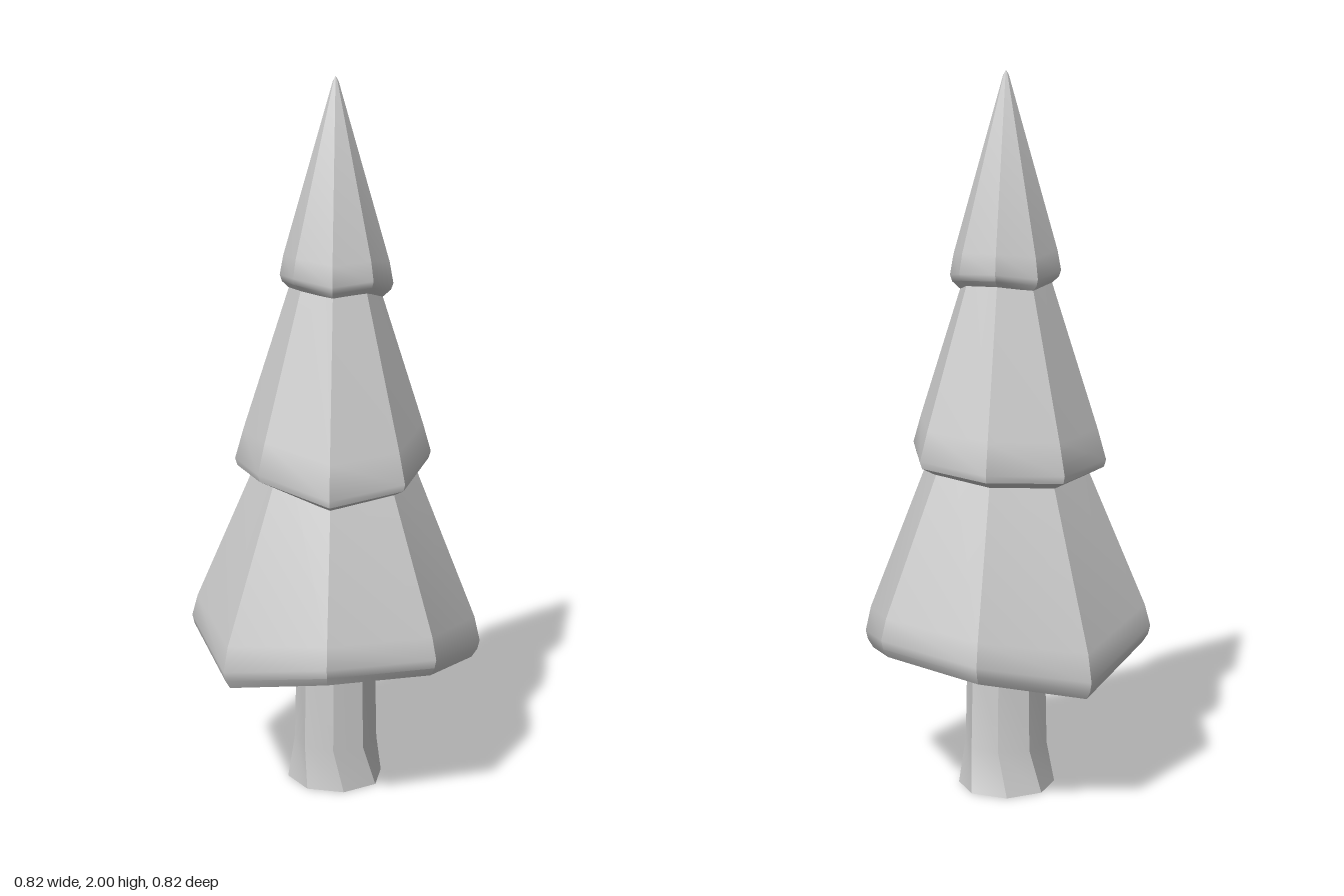
import * as THREE from 'three';
import { toCreasedNormals } from 'three/addons/utils/BufferGeometryUtils.js';

const SIDES = 8;
const material = new THREE.MeshStandardMaterial({ color: 0xcccccc });

// One eight-cornered ring; sag lowers or lifts each corner, scaled by weight.
function ring({ r, y, weight = 0, sag = [], scale = [], twist = 0, x = 0, z = 0 }) {
  return Array.from({ length: SIDES }, (_, i) => {
    const a = (i / SIDES) * Math.PI * 2 + twist;
    const radius = r * (scale[i] ?? 1);
    return new THREE.Vector3(
      x + radius * Math.cos(a), y + weight * (sag[i] ?? 0), z + radius * Math.sin(a));
  });
}

// Joins rings, listed from top to bottom, into a faceted skin.
function skin(name, rings) {
  const positions = [];
  const tri = (a, b, c) => {
    if (a.equals(b) || b.equals(c) || a.equals(c)) return;
    positions.push(...a.toArray(), ...b.toArray(), ...c.toArray());
  };
  for (let k = 0; k < rings.length - 1; k++) {
    for (let i = 0; i < SIDES; i++) {
      const j = (i + 1) % SIDES;
      const [top, low] = [rings[k], rings[k + 1]];
      tri(top[i], top[j], low[i]);
      tri(top[j], low[j], low[i]);
    }
  }
  const geometry = new THREE.BufferGeometry();
  geometry.setAttribute('position', new THREE.Float32BufferAttribute(positions, 3));
  const mesh = new THREE.Mesh(toCreasedNormals(geometry, 0.6), material);
  mesh.name = name;
  return mesh;
}

// Profile points are [radius, height, sag weight]; corners run from +x towards +z.
function tier(name, profile, sag, scale) {
  return skin(name, profile.map(([r, y, weight]) => ring({ r, y, weight, sag, scale })));
}

export function createModel() {
  const group = new THREE.Group();
  group.name = 'pineTree';

  group.add(
    // Top tier, ending in a tiny blunt tip
    tier('topTier',
      [[0, 2, 0], [0.008, 1.985, 0], [0.142, 1.515, 0.8], [0.152, 1.46, 1],
        [0.146, 1.442, 1], [0.122, 1.42, 1], [0, 1.42, 0]],
      [-0.015, 0.01, 0, 0.015, 0.005, -0.01, 0.005, 0],
      [1.03, 1, 1, 1, 1, 1, 1, 1]),

    // Middle tier
    tier('middleTier',
      [[0, 1.52, 0], [0.105, 1.5, 0], [0.256, 1.03, 0.8], [0.28, 0.945, 1],
        [0.274, 0.925, 1], [0.235, 0.905, 1], [0, 0.91, 0]],
      [0.03, -0.01, -0.035, 0.01, 0, -0.01, 0, 0.015],
      [0.94, 1, 1.02, 1, 1, 1, 1, 1]),

    // Bottom tier with its uneven hem and closed underside
    tier('bottomTier',
      [[0, 1.04, 0], [0.185, 1.02, 0], [0.392, 0.515, 0.8], [0.408, 0.45, 1],
        [0.402, 0.425, 1], [0.386, 0.4, 1], [0, 0.4, 0]],
      [-0.03, 0.02, 0.03, -0.03, 0.03, -0.055, 0.005, 0.03]),

    // Trunk, flaring and twisting at the foot
    skin('trunk', [
      ring({ r: 0, y: 0.46 }),
      ring({ r: 0.11, y: 0.46 }),
      ring({ r: 0.117, y: 0.12 }),
      ring({ r: 0.139, y: 0, twist: -0.22, z: -0.01, scale: [0.95, 1, 1, 1, 1, 1, 1.02, 1] }),
      ring({ r: 0, y: 0 }),
    ]),
  );
  return group;
}
